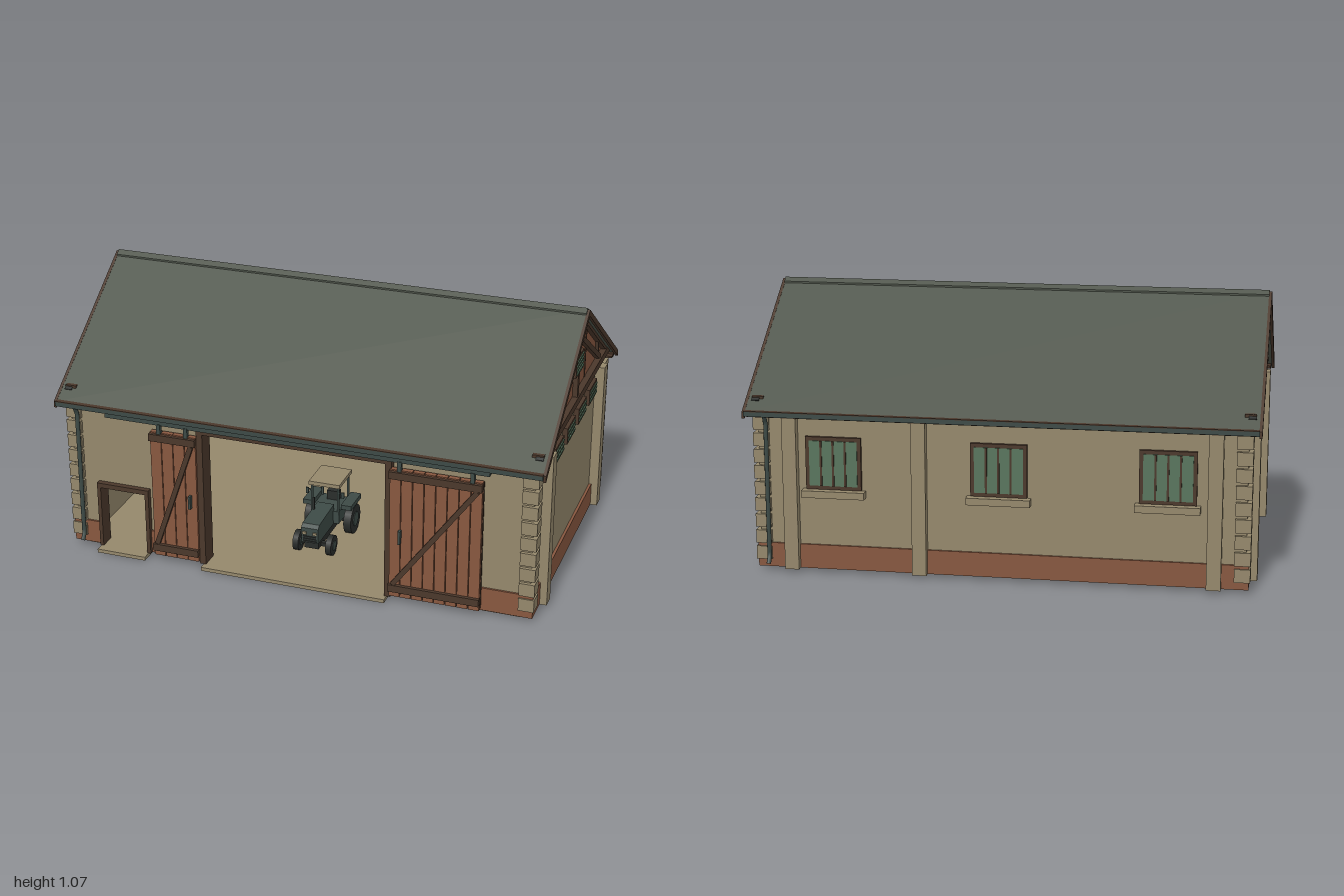
import * as THREE from 'three';

const mat = (name, color) => Object.assign(new THREE.MeshStandardMaterial({ color }), { name });
const M = {
  plaster: mat('plaster', 0x94876b),
  brick: mat('red brown timber', 0x87573f),
  wood: mat('dark timber', 0x4b382b),
  roof: mat('roof sheet', 0x4f554b),
  metal: mat('dark metal', 0x3d4a46),
  glass: mat('green glass', 0x58755d),
  tyre: mat('tyre rubber', 0x2a2d2b),
};

export function createModel() {
  const model = new THREE.Group();
  model.name = 'barn';
  let parent = model;

  const add = (name, geo, m) => {
    const mesh = new THREE.Mesh(geo, m);
    mesh.name = name;
    parent.add(mesh);
    return mesh;
  };
  const group = (name) => {
    parent = new THREE.Group();
    parent.name = name;
    model.add(parent);
  };
  // box given by its limits
  const box = (name, m, x0, x1, y0, y1, z0, z1) => {
    const mesh = add(name, new THREE.BoxGeometry(Math.abs(x1 - x0), y1 - y0, Math.abs(z1 - z0)), m);
    mesh.position.set((x0 + x1) / 2, (y0 + y1) / 2, (z0 + z1) / 2);
    return mesh;
  };
  const polygon = (pts) => new THREE.Shape(pts.map(([a, b]) => new THREE.Vector2(a, b)));
  // (z, y) outline swept along x
  const sweepX = (name, m, pts, x0, x1) => {
    const geo = new THREE.ExtrudeGeometry(polygon(pts), { depth: x1 - x0, bevelEnabled: false });
    geo.rotateY(-Math.PI / 2).translate(x1, 0, 0);
    return add(name, geo, m);
  };
  // slanted timber in the front plane (x, y) or in the side plane (z, y)
  const beam = (name, m, [a0, b0], [a1, b1], w, d, at, side) => {
    const geo = new THREE.BoxGeometry(Math.hypot(a1 - a0, b1 - b0), w, d);
    geo.rotateZ(Math.atan2(b1 - b0, a1 - a0)).translate((a0 + a1) / 2, (b0 + b1) / 2, 0);
    if (side) geo.rotateY(-Math.PI / 2).translate(at, 0, 0);
    else geo.translate(0, 0, at);
    return add(name, geo, m);
  };
  const tube = (name, m, pts, r) => {
    const path = new THREE.CurvePath();
    const v = pts.map((p) => new THREE.Vector3(...p));
    for (let i = 1; i < v.length; i++) path.add(new THREE.LineCurve3(v[i - 1], v[i]));
    return add(name, new THREE.TubeGeometry(path, 24, r, 8), m);
  };
  const SIDES = [-1, 1];

  // floor slab and thresholds
  group('floor');
  box('slab', M.plaster, -0.91, 0.91, 0, 0.015, -0.53, 0.56);
  box('mainThreshold', M.plaster, -0.385, 0.385, 0, 0.015, 0.56, 0.635);
  box('smallThreshold', M.plaster, -0.84, -0.63, 0, 0.015, 0.56, 0.635);

  // walls
  group('walls');
  const front = polygon([[-0.95, 0.015], [-0.835, 0.015], [-0.835, 0.28], [-0.632, 0.28], [-0.632, 0.015],
    [-0.385, 0.015], [-0.385, 0.59], [0.385, 0.59], [0.385, 0.015], [0.95, 0.015], [0.95, 0.655], [-0.95, 0.655]]);
  add('frontWall', new THREE.ExtrudeGeometry(front, { depth: 0.04, bevelEnabled: false }), M.plaster).position.z = 0.535;
  box('backWall', M.plaster, -0.95, 0.95, 0.015, 0.655, -0.575, -0.535);
  for (const s of SIDES) box('sideWall', M.plaster, s * 0.91, s * 0.95, 0.015, 0.67, -0.535, 0.535);
  for (const s of SIDES) box('sideWallFace', M.plaster, s * 0.945, s * 0.951, 0.015, 0.67, -0.57, 0.57);

  // plinth, broken at the doorways
  for (const [x0, x1] of [[-0.962, -0.845], [-0.62, -0.4], [0.395, 0.962]])
    box('frontPlinth', M.brick, x0, x1, 0.015, 0.112, 0.56, 0.583);
  box('backPlinth', M.brick, -0.962, 0.962, 0.015, 0.112, -0.583, -0.56);
  for (const s of SIDES) box('sidePlinth', M.brick, s * 0.935, s * 0.962, 0.015, 0.112, -0.58, 0.58);

  // corner stones
  group('cornerStones');
  for (const sx of SIDES) for (const sz of SIDES)
    for (let i = 0; i < 9; i++) {
      const y = 0.045 + i * 0.0655;
      box('cornerStone', M.plaster, sx * 0.906, sx * 0.968, y, y + 0.053, sz * 0.528, sz * 0.589);
    }

  // pilasters
  group('pilasters');
  for (const sx of SIDES) for (const sz of SIDES)
    box('sidePilaster', M.plaster, sx * 0.94, sx * 0.99, 0.015, 0.65, sz * 0.412, sz * 0.467);
  for (const x of [0.82, 0.31, -0.83])
    box('backPilaster', M.plaster, x - 0.028, x + 0.028, 0.015, 0.65, -0.61, -0.56);

  // roof: sheets, ridge cap, verge boards and fixings
  group('roof');
  const chevron = (z, top, t) => [[-z, top - z * 0.67 - t], [0, top - t], [z, top - z * 0.67 - t],
    [z, top - z * 0.67], [0, top], [-z, top - z * 0.67]];
  sweepX('roofSheets', M.roof, chevron(0.622, 1.065, 0.018), -0.99, 0.99);
  sweepX('ridgeCap', M.roof, chevron(0.022, 1.072, 0.01), -0.99, 0.99);
  for (const s of SIDES) {
    sweepX('vergeBoard', M.wood, chevron(0.625, 1.066, 0.026), s < 0 ? -1 : 0.988, s < 0 ? -0.988 : 1);
    for (const x of [-0.96, 0.96])
      beam('roofPlate', M.tyre, [s * 0.555, 0.6965], [s * 0.575, 0.683], 0.004, 0.03, x, true);
    // eaves
    box('fascia', M.wood, -0.985, 0.985, 0.625, 0.648, s * 0.598, s * 0.612);
    box('gutter', M.metal, -0.99, 0.99, 0.632, 0.65, s * 0.612, s * 0.636);
    box('gutterInside', M.wood, -0.99, 0.99, 0.65, 0.653, s * 0.612, s * 0.636);
    box('soffit', M.wood, -0.985, 0.985, 0.63, 0.637, s * 0.57, s * 0.61);
  }

  // downpipes at two opposite corners
  for (const s of SIDES)
    tube('downpipe', M.metal, [[s * 0.912, 0.64, -s * 0.625], [s * 0.912, 0.6, -s * 0.603],
      [s * 0.912, 0.06, -s * 0.603], [s * 0.912, 0.035, -s * 0.62]], 0.009);

  // louvred vent on a gable end
  const vent = (s, z, y, w, h, n) => {
    const x = s * 0.95;
    box('ventFrame', M.wood, x, x + s * 0.022, y - h / 2, y + h / 2, z - w / 2, z + w / 2);
    for (let i = 0; i < n; i++) {
      const yy = y + ((i + 0.5) / n - 0.5) * (h - 0.012);
      box('ventSlat', M.glass, x + s * 0.02, x + s * 0.026, yy - 0.004, yy + 0.004, z - w / 2 + 0.008, z + w / 2 - 0.008);
    }
  };

  // gables with timber framing
  for (const s of SIDES) {
    group(s < 0 ? 'rightGable' : 'leftGable');
    const x = s * 0.956;
    sweepX('gablePanel', M.brick, [[-0.565, 0.668], [0.565, 0.668], [0, 1.048]], s < 0 ? -0.95 : 0.91, s < 0 ? -0.91 : 0.95);
    box('tieBeam', M.wood, s * 0.93, s * 0.975, 0.667, 0.698, -0.565, 0.565);
    box('kingPost', M.wood, s * 0.94, s * 0.97, 0.698, 1.03, -0.013, 0.013);
    box('ridgeBeam', M.wood, s * 0.9, s * 0.99, 1.02, 1.045, -0.012, 0.012);
    for (const k of SIDES) {
      beam('gableBrace', M.wood, [k * 0.41, 0.7], [k * 0.065, 0.915], 0.023, 0.025, x, true);
      beam('rafter', M.wood, [k * 0.57, 0.66], [0, 1.041], 0.018, 0.03, x, true);
      beam('strut', M.wood, [k * 0.405, 0.7], [k * 0.38, 0.785], 0.008, 0.014, x, true);
      beam('stud', M.wood, [k * 0.19, 0.7], [k * 0.19, 0.915], 0.008, 0.006, s * 0.95, true);
    }
    vent(s, 0, 0.838, 0.126, 0.08, 4);
    for (let i = 0; i < 4; i++) vent(s, 0.288 - i * 0.191, 0.595, 0.132, 0.068, 3);
  }

  // back windows
  group('windows');
  for (const x of [-0.65, 0, 0.65]) {
    box('windowFrame', M.wood, x - 0.11, x + 0.11, 0.34, 0.55, -0.588, -0.57);
    box('windowPane', M.glass, x - 0.095, x + 0.095, 0.355, 0.535, -0.591, -0.587);
    for (let i = -1; i <= 1; i++)
      box('windowBar', M.wood, x + i * 0.048 - 0.004, x + i * 0.048 + 0.004, 0.355, 0.535, -0.595, -0.59);
    box('windowSill', M.plaster, x - 0.125, x + 0.125, 0.31, 0.338, -0.612, -0.57);
  }

  // doorway frames and sliding rail
  group('doorways');
  for (const s of SIDES) box('mainJamb', M.wood, s * 0.375, s * 0.4, 0.015, 0.605, 0.53, 0.605);
  box('mainLintel', M.wood, -0.4, 0.4, 0.587, 0.605, 0.53, 0.605);
  box('smallJamb', M.wood, -0.845, -0.83, 0.015, 0.298, 0.53, 0.598);
  box('smallJamb', M.wood, -0.636, -0.62, 0.015, 0.298, 0.53, 0.598);
  box('smallLintel', M.wood, -0.845, -0.62, 0.278, 0.298, 0.53, 0.598);
  box('slidingRail', M.metal, -0.785, 0.785, 0.605, 0.625, 0.575, 0.615);

  // planked sliding doors with Z bracing
  for (const [name, x0, x1, handle] of [['rightDoor', -0.595, -0.4, -0.428], ['leftDoor', 0.395, 0.76, 0.44]]) {
    group(name);
    box('doorBacking', M.wood, x0, x1, 0.03, 0.57, 0.587, 0.6);
    const n = Math.round((x1 - x0) / 0.046), w = (x1 - x0) / n;
    for (let i = 0; i < n; i++)
      box('plank', M.brick, x0 + i * w + 0.0015, x0 + (i + 1) * w - 0.0015, 0.025, 0.573, 0.59, 0.612);
    for (const y of [0.05, 0.538]) box('doorRail', M.wood, x0, x1, y, y + 0.03, 0.605, 0.626);
    beam('doorBrace', M.wood, [x0 + 0.018, 0.082], [x1 - 0.018, 0.536], 0.02, 0.016, 0.616, false);
    box('doorHandle', M.metal, handle - 0.005, handle + 0.005, 0.265, 0.32, 0.61, 0.63);
    for (const x of [x0 + 0.04, x1 - 0.04]) box('hanger', M.metal, x - 0.008, x + 0.008, 0.55, 0.61, 0.6, 0.618);
  }

  // tractor parked inside
  group('tractor');
  const wheel = (name, x, r, w, z) => {
    const tyre = add(name, new THREE.CylinderGeometry(r, r, w, 18).rotateZ(Math.PI / 2), M.tyre);
    const hub = add('hub', new THREE.CylinderGeometry(r * 0.5, r * 0.5, w + 0.006, 12).rotateZ(Math.PI / 2), M.metal);
    for (const m of [tyre, hub]) m.position.set(x, r + 0.015, z);
  };
  for (const s of SIDES) {
    wheel('rearWheel', s * 0.085, 0.062, 0.032, 0.15);
    wheel('frontWheel', s * 0.07, 0.042, 0.024, 0.36);
    box('fender', M.metal, s * 0.06, s * 0.105, 0.145, 0.165, 0.09, 0.215);
    for (const z of [0.11, 0.235]) box('cabPost', M.metal, s * 0.052, s * 0.06, 0.14, 0.257, z - 0.004, z + 0.004);
    box('mirror', M.metal, s * 0.07, s * 0.082, 0.21, 0.235, 0.235, 0.241);
    box('mirrorArm', M.metal, s * 0.056, s * 0.074, 0.226, 0.23, 0.234, 0.238);
    box('headlight', M.plaster, s * 0.014, s * 0.03, 0.122, 0.134, 0.42, 0.425);
  }
  box('chassis', M.tyre, -0.03, 0.03, 0.05, 0.1, 0.1, 0.4);
  box('rearAxle', M.tyre, -0.075, 0.075, 0.065, 0.09, 0.14, 0.165);
  box('frontAxle', M.tyre, -0.065, 0.065, 0.05, 0.066, 0.35, 0.37);
  sweepX('hood', M.metal, [[0.23, 0.085], [0.42, 0.085], [0.42, 0.15], [0.405, 0.163], [0.23, 0.172]], -0.036, 0.036);
  for (let i = 0; i < 3; i++) box('grilleBar', M.tyre, -0.028, 0.028, 0.09 + i * 0.01, 0.095 + i * 0.01, 0.42, 0.424);
  box('cabBase', M.metal, -0.06, 0.06, 0.09, 0.145, 0.1, 0.24);
  box('seat', M.tyre, -0.025, 0.025, 0.145, 0.185, 0.115, 0.145);
  box('cabRoof', M.plaster, -0.066, 0.066, 0.255, 0.271, 0.095, 0.25);
  tube('exhaust', M.tyre, [[-0.03, 0.16, 0.29], [-0.03, 0.225, 0.29]], 0.005);

  return model;
}
